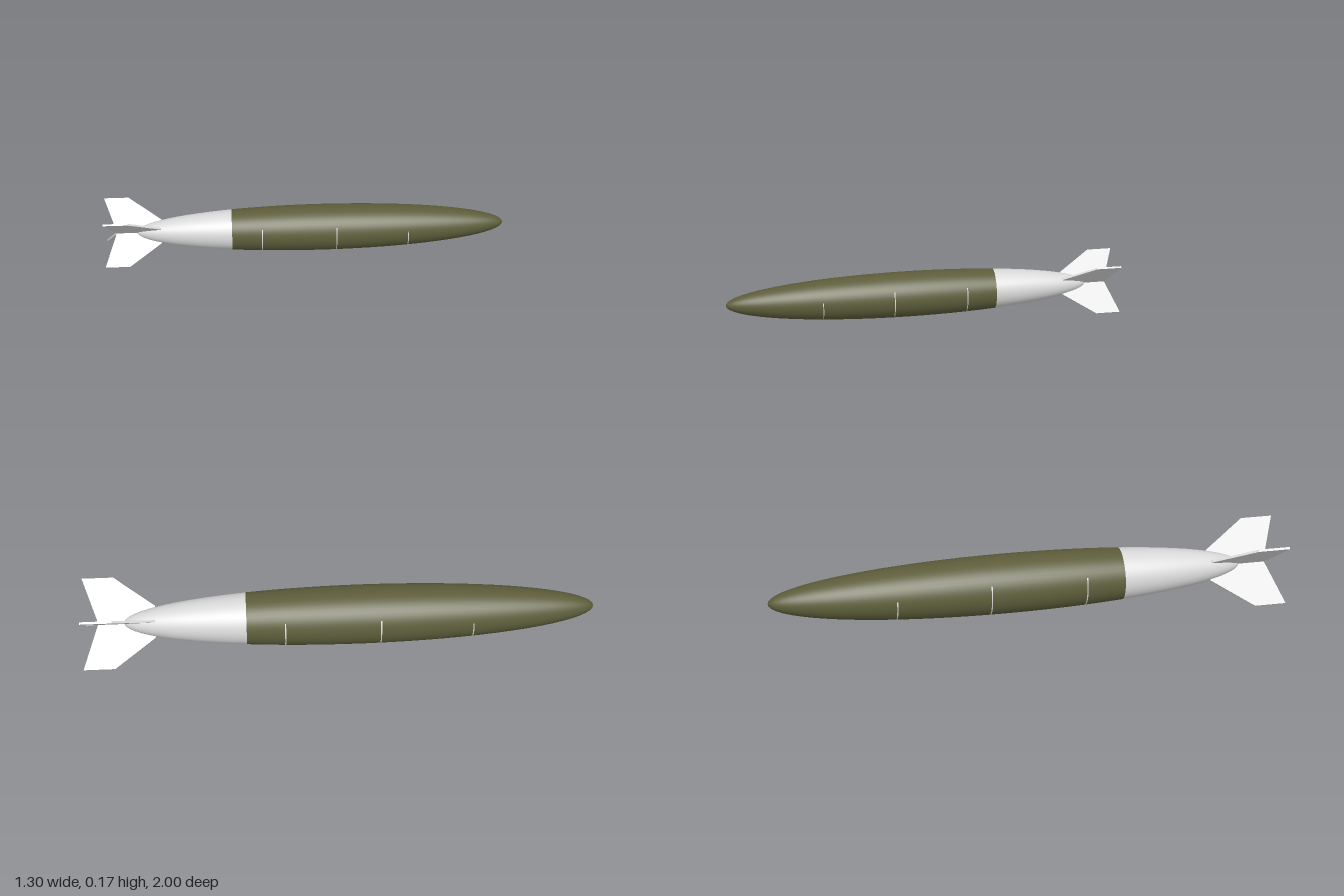
import * as THREE from 'three';

const AXIS_Y = 0.084, AXIS_Z = 0.916;
const MID = 0.05, HALF = 0.6, RADIUS = 0.075; // ellipsoid hull along x

const radiusAt = (x) => RADIUS * Math.sqrt(Math.max(0, 1 - ((x - MID) / HALF) ** 2));

// Hull slice between two x positions; points are denser near the tips
function hullSlice(x0, x1, steps, lift = 0, phi = 0, sweep = Math.PI * 2, sides = 48) {
  const a0 = Math.acos((x0 - MID) / HALF), a1 = Math.acos((x1 - MID) / HALF);
  const points = [];
  for (let i = 0; i <= steps; i++) {
    const x = MID + HALF * Math.cos(a0 + (a1 - a0) * i / steps);
    points.push(new THREE.Vector2(radiusAt(x) + lift, x));
  }
  return new THREE.LatheGeometry(points, sides, phi, sweep).rotateZ(-Math.PI / 2);
}

export function createModel() {
  const olive = new THREE.MeshStandardMaterial({ color: 0x5d5d3b });
  olive.name = 'olive paint';
  const grey = new THREE.MeshStandardMaterial({ color: 0xd9d9d9 });
  grey.name = 'light grey paint';

  const add = (parent, name, geometry, material) => {
    const mesh = new THREE.Mesh(geometry, material);
    mesh.name = name;
    parent.add(mesh);
    return mesh;
  };

  // Swept tail fin outline: x along the hull, y outward
  const finShape = new THREE.Shape([
    [-0.615, 0], [-0.47, 0], [-0.47, 0.04], [-0.575, 0.1155], [-0.655, 0.1155],
  ].map(([x, y]) => new THREE.Vector2(x, y)));
  const T = 0.006;
  const finGeometry = new THREE.ExtrudeGeometry(finShape, { depth: T, bevelEnabled: false })
    .translate(0, 0, -T / 2);

  const bodyGeometry = hullSlice(-0.24, MID + HALF, 24);
  const tailGeometry = hullSlice(MID - HALF, -0.24, 14);

  function createTank(name) {
    const tank = new THREE.Group();
    tank.name = name;
    add(tank, 'body', bodyGeometry, olive);
    add(tank, 'tailCone', tailGeometry, grey);

    // Four fins in an X
    for (let i = 0; i < 4; i++) {
      add(tank, 'tailFin', finGeometry, grey).rotation.x = Math.PI / 4 + i * Math.PI / 2;
    }

    // Fine seam lines on both flanks
    for (const [x, up, down] of [[-0.142, 0.5, 0.9], [0.1, 0.5, 0.9], [0.335, 0.2, 0.8]]) {
      for (const start of [-up, Math.PI - down]) {
        add(tank, 'seamLine', hullSlice(x - 0.0015, x + 0.0015, 1, 0.0005, start, up + down, 14), grey);
      }
    }
    return tank;
  }

  const model = new THREE.Group();
  model.name = 'tankPair';
  for (const side of [1, -1]) {
    const tank = createTank(side > 0 ? 'frontTank' : 'backTank');
    tank.position.set(0, AXIS_Y, side * AXIS_Z);
    model.add(tank);
  }
  return model;
}
